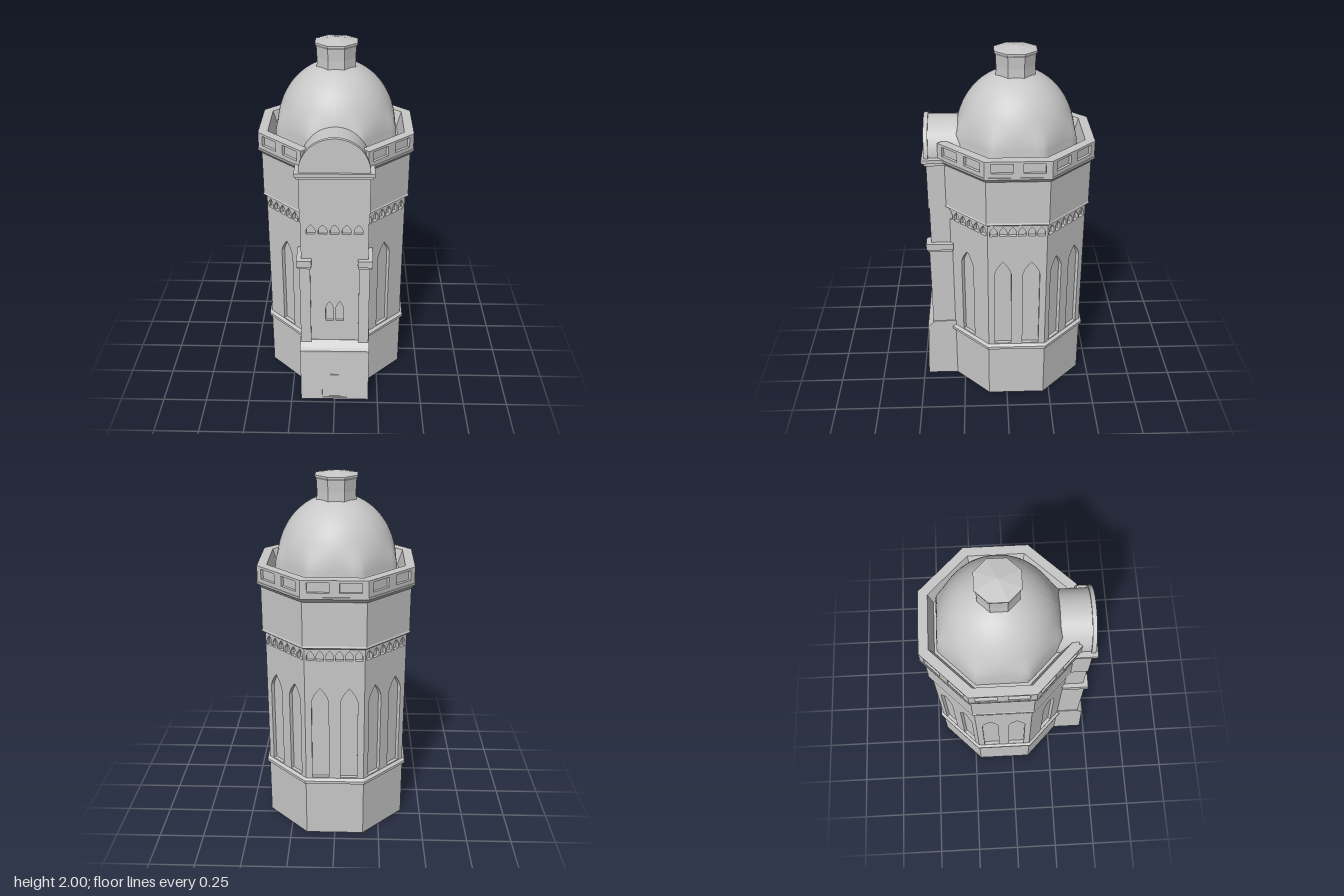
import * as THREE from 'three';

const CZ = -0.055; // z of the octagon's axis
const T = Math.tan(Math.PI / 8);
const C = Math.cos(Math.PI / 8);

export function createModel() {
  const stone = new THREE.MeshStandardMaterial({ color: 0xc8c8c8 });
  const model = new THREE.Group();
  model.name = 'tower';

  const add = (name, geometry, parent = model) => {
    const mesh = new THREE.Mesh(geometry, stone);
    mesh.name = name;
    parent.add(mesh);
    return mesh;
  };
  const flat = (g) => {
    const f = g.toNonIndexed();
    f.computeVertexNormals();
    return f;
  };
  // eight-sided solid from [apothem, y] pairs, bottom to top
  const octagon = (name, profile) => {
    const pts = profile.map(([a, y]) => new THREE.Vector2(a / C, y));
    const mesh = add(name, flat(new THREE.LatheGeometry(pts, 8, Math.PI / 8)));
    mesh.position.z = CZ;
    return mesh;
  };
  const box = (name, x0, x1, y0, y1, z0, z1) =>
    add(name, new THREE.BoxGeometry(x1 - x0, y1 - y0, z1 - z0)
      .translate((x0 + x1) / 2, (y0 + y1) / 2, (z0 + z1) / 2));

  // openings for panels
  const arch = (x, w, y0, y1, rise) => {
    const p = new THREE.Path();
    const h = w / 2, s = y1 - rise;
    p.moveTo(x - h, y0);
    p.lineTo(x + h, y0);
    p.lineTo(x + h, s);
    p.quadraticCurveTo(x + h * 0.8, s + rise * 0.5, x, y1);
    p.quadraticCurveTo(x - h * 0.8, s + rise * 0.5, x - h, s);
    p.closePath();
    return p;
  };
  const rect = (x, w, y0, y1, Type = THREE.Path) => {
    const p = new Type();
    p.moveTo(x - w / 2, y0);
    p.lineTo(x + w / 2, y0);
    p.lineTo(x + w / 2, y1);
    p.lineTo(x - w / 2, y1);
    p.closePath();
    return p;
  };
  // pierced wall skin whose outer face lies at z = front
  const panel = (name, w, y0, y1, front, depth, holes, parent) => {
    const s = rect(0, w, y0, y1, THREE.Shape);
    s.holes.push(...holes);
    const g = new THREE.ExtrudeGeometry(s, { depth, bevelEnabled: false, curveSegments: 4 });
    return add(name, g.translate(0, 0, front - depth), parent);
  };
  const archRow = (n, step, w) =>
    Array.from({ length: n }, (_, i) => arch((i - (n - 1) / 2) * step, w, 1.082, 1.137, 0.03));

  // main shaft, base, string course, cornice and parapet core
  octagon('shaft', [
    [0, 0], [0.387, 0], [0.387, 0.328], [0.4, 0.336], [0.4, 0.352], [0.385, 0.364],
    [0.365, 0.364], [0.365, 1.148], [0.388, 1.148], [0.404, 1.16], [0.4, 1.17],
    [0.4, 1.41], [0.42, 1.432], [0.42, 1.442], [0.4, 1.442], [0.4, 1.53],
    [0.365, 1.53], [0.34, 1.45], [0, 1.45],
  ]);

  // wall faces with lancets, arch frieze and parapet slots (front face is behind the porch)
  for (let i = 1; i < 8; i++) {
    const face = new THREE.Group();
    face.name = 'wallFace';
    face.position.z = CZ;
    face.rotation.y = (i * Math.PI) / 4;
    model.add(face);
    const xs = i === 1 || i === 7 ? [0] : [-0.078, 0.078];
    const lancets = xs.map((x) => arch(x, 0.092, 0.37, 0.92, 0.08));
    panel('lancetWall', 2 * 0.385 * T, 0.36, 1.15, 0.385, 0.02,
      [...lancets, ...archRow(6, 0.051, 0.04)], face);
    panel('parapet', 2 * 0.416 * T, 1.44, 1.53, 0.416, 0.016,
      [-0.083, 0.083].map((x) => rect(x, 0.112, 1.464, 1.517)), face);
  }

  // dome: octagonal at the foot, blending to round
  const domePts = [new THREE.Vector2(0.325, 1.43), new THREE.Vector2(0.325, 1.5)];
  for (let i = 0; i <= 20; i++) {
    const a = (i / 20) * 1.26;
    domePts.push(new THREE.Vector2(0.322 * Math.cos(a), 1.515 + 0.36 * Math.sin(a)));
  }
  domePts.push(new THREE.Vector2(0, 1.862));
  const dome = new THREE.LatheGeometry(domePts, 64);
  const pos = dome.attributes.position;
  for (let i = 0; i < pos.count; i++) {
    const x = pos.getX(i), z = pos.getZ(i);
    const q = Math.PI / 4;
    const a = Math.atan2(x, z);
    const d = a - Math.round(a / q) * q;
    const k = 1 - THREE.MathUtils.smoothstep(pos.getY(i), 1.52, 1.68);
    const s = 1 + k * (1 / Math.cos(d) - 1);
    pos.setXYZ(i, x * s, pos.getY(i), z * s);
  }
  dome.computeVertexNormals();
  add('dome', dome).position.z = CZ;

  // lantern with a shallow cap
  octagon('lantern', [
    [0.104, 1.84], [0.102, 1.9], [0.105, 1.96], [0.112, 1.972], [0.112, 1.98], [0, 2.0],
  ]);

  // porch base: battered block with sloping top, profile in (z, y)
  const side = new THREE.Shape([
    [0.1, 0], [0.463, 0], [0.448, 0.33], [0.463, 0.33], [0.465, 0.345],
    [0.455, 0.36], [0.42, 0.392], [0.1, 0.392],
  ].map(([z, y]) => new THREE.Vector2(z, y)));
  add('porchBase', new THREE.ExtrudeGeometry(side, { depth: 0.39, bevelEnabled: false })
    .rotateY(-Math.PI / 2).translate(0.195, 0, 0));

  // battered front with door recess and its two arched openings
  const front = new THREE.Group();
  front.name = 'doorFront';
  front.position.z = 0.475;
  front.rotation.x = -0.045;
  model.add(front);
  panel('baseFront', 0.39, 0.001, 0.333, 0, 0.014, [rect(0, 0.144, 0.012, 0.285)], front);
  panel('doorSurround', 0.15, 0.008, 0.29, -0.006, 0.007,
    [arch(0, 0.066, 0.016, 0.142, 0.05), arch(0, 0.048, 0.17, 0.25, 0.035)], front);

  // porch wall with paired windows and arch frieze
  box('porchCore', -0.18, 0.18, 0.36, 1.16, 0.1, 0.403);
  panel('porchFront', 0.36, 0.36, 1.155, 0.418, 0.015, [
    ...[-0.028, 0.028].map((x) => arch(x, 0.044, 0.525, 0.655, 0.05)),
    ...archRow(5, 0.063, 0.046),
  ]);
  box('porchUpper', -0.184, 0.184, 1.15, 1.42, 0.1, 0.424);
  box('porchCorniceLower', -0.195, 0.195, 1.408, 1.425, 0.28, 0.436);
  box('porchCornice', -0.205, 0.205, 1.425, 1.445, 0.28, 0.448);

  // corner piers with caps
  for (const s of [-1, 1]) {
    const span = (a, b) => (s > 0 ? [a, b] : [-b, -a]);
    box('pier', ...span(0.132, 0.19), 0.36, 0.9, 0.25, 0.43);
    box('pierCapLower', ...span(0.129, 0.197), 0.876, 0.892, 0.3, 0.438);
    box('pierCap', ...span(0.124, 0.205), 0.892, 0.93, 0.295, 0.446);
  }

  // barrel vault and its front rim
  const vault = (name, r, z0, z1) =>
    add(name, new THREE.CylinderGeometry(r, r, z1 - z0, 40, 1, false, Math.PI / 2, Math.PI)
      .rotateX(Math.PI / 2).translate(0, 1.445, (z0 + z1) / 2));
  vault('barrelVault', 0.173, 0.1, 0.42);
  vault('vaultRim', 0.183, 0.412, 0.435);

  return model;
}
